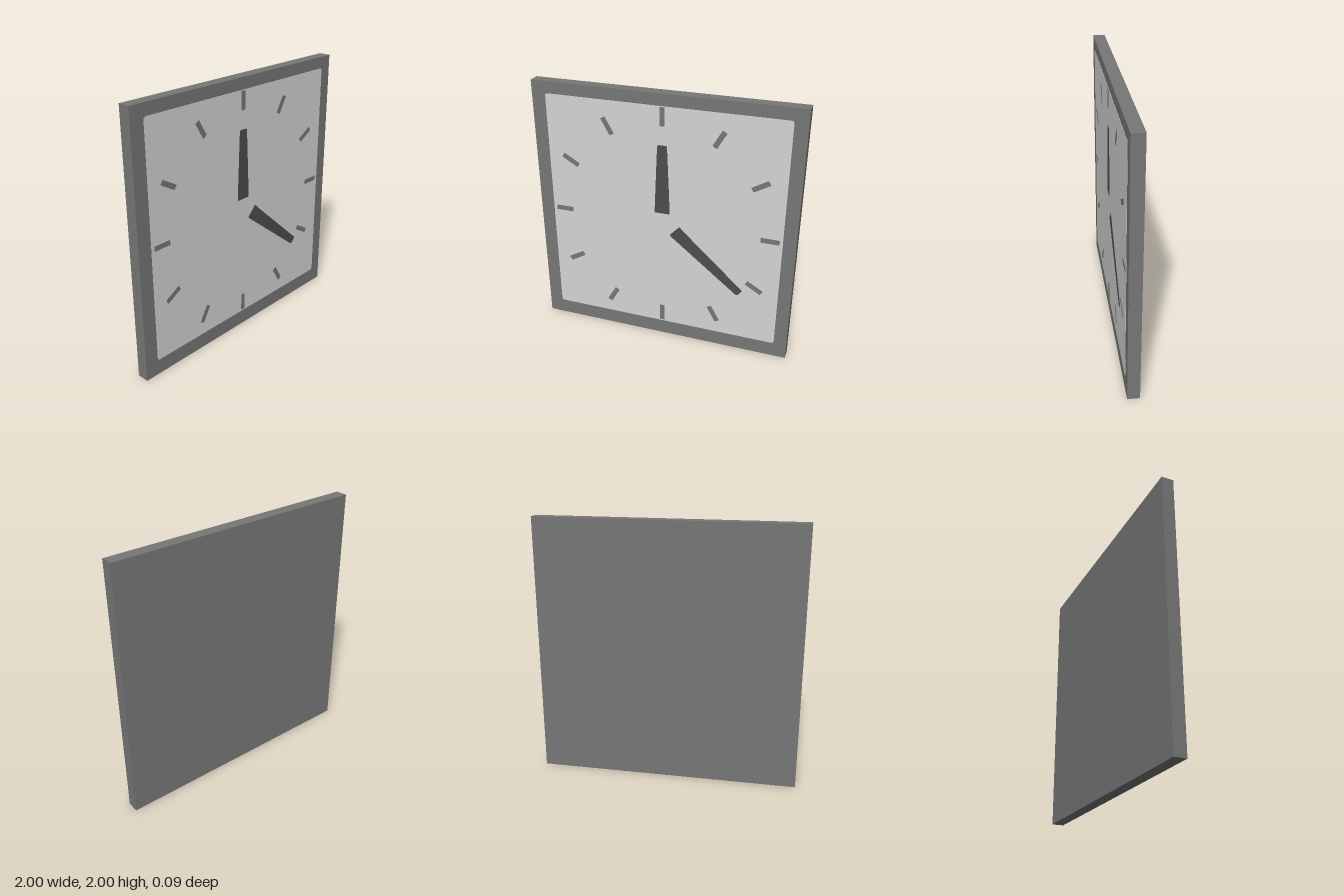
import * as THREE from 'three';

const FRONT = 0.044; // front surface of the casing

const material = (name, color) => {
  const m = new THREE.MeshStandardMaterial({ color });
  m.name = name;
  return m;
};

// Thin plate cut from a shape, laid on the casing
function plate(name, shape, mat, z, depth) {
  const geo = new THREE.ExtrudeGeometry(shape, { depth, bevelEnabled: false, curveSegments: 4 });
  const mesh = new THREE.Mesh(geo, mat);
  mesh.name = name;
  mesh.position.z = z;
  return mesh;
}

const polygon = (pts) => new THREE.Shape(pts.map(([x, y]) => new THREE.Vector2(x, y)));

function roundedRect(x0, y0, x1, y1, r) {
  const s = new THREE.Shape();
  s.absarc(x1 - r, y1 - r, r, 0, Math.PI / 2);
  s.absarc(x0 + r, y1 - r, r, Math.PI / 2, Math.PI);
  s.absarc(x0 + r, y0 + r, r, Math.PI, Math.PI * 1.5);
  s.absarc(x1 - r, y0 + r, r, Math.PI * 1.5, Math.PI * 2);
  s.closePath();
  return s;
}

export function createModel() {
  const clock = new THREE.Group();
  clock.name = 'wallClock';
  const frameGrey = material('frame grey', 0x777777);
  const dialGrey = material('dial light grey', 0xd4d4d4);
  const handGrey = material('hand dark grey', 0x4d4d4d);

  // Square casing
  const casing = new THREE.Mesh(new THREE.BoxGeometry(2, 2, FRONT + 0.047), frameGrey);
  casing.name = 'casing';
  casing.position.set(0, 1, (FRONT - 0.047) / 2);
  clock.add(casing);

  // Dial
  clock.add(plate('dial', roundedRect(-0.893, 0.118, 0.904, 1.911, 0.02), dialGrey, FRONT, 0.0015));

  // Hour marks, slightly uneven at the four quarters
  const marks = new THREE.Group();
  marks.name = 'hourMarks';
  const quarterRadius = [0.835, 0.812, 0.802, 0.798];
  const markGeo = new THREE.BoxGeometry(0.038, 0.138, 0.0015);
  for (let i = 0; i < 12; i++) {
    const a = (i * Math.PI) / 6;
    const r = i % 3 === 0 ? quarterRadius[i / 3] : 0.831;
    const mark = new THREE.Mesh(markGeo, frameGrey);
    mark.name = `hourMark${i || 12}`;
    mark.position.set(r * Math.sin(a), 1 + r * Math.cos(a), FRONT + 0.00225);
    mark.rotation.z = -a;
    marks.add(mark);
  }
  clock.add(marks);

  // Tapered hands with clipped corners
  clock.add(plate('hourHand', polygon([
    [-0.055, 1.088], [0.055, 1.088], [0.059, 1.098], [0.037, 1.61],
    [0.031, 1.624], [-0.031, 1.624], [-0.037, 1.61], [-0.059, 1.098],
  ]), handGrey, FRONT + 0.0015, 0.0015));
  clock.add(plate('minuteHand', polygon([
    [0.07, 0.904], [0.586, 0.495], [0.599, 0.495], [0.63, 0.533], [0.628, 0.543],
    [0.163, 0.966], [0.139, 0.992], [0.128, 0.99], [0.061, 0.918],
  ]), handGrey, FRONT + 0.0015, 0.0015));

  return clock;
}
